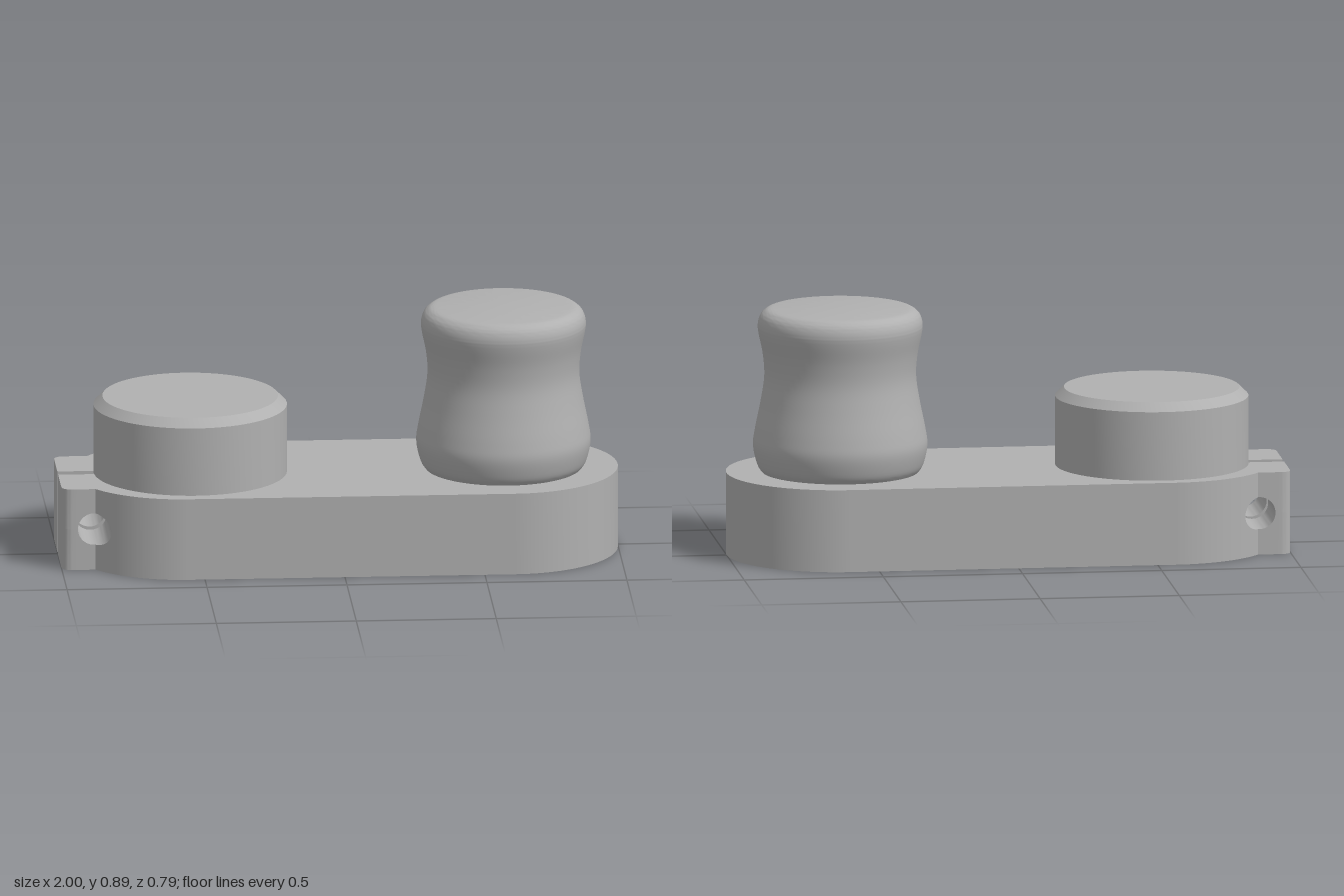
import * as THREE from 'three';
import { toCreasedNormals } from 'three/addons/utils/BufferGeometryUtils.js';

const H = 0.297;                                  // arm thickness
const R = 0.393, LEFT = -0.561, RIGHT = 0.607;    // arm end radius and arc centres
const BORE_X = -0.527, BORE_R = 0.262;
const SLOT = 0.022;                               // half width of the clamp slot
const CUT = -0.81;                                // where the clamp end meets the arm
const LUG_Z = 0.23, CORNER = 0.035;
const BOLT = { x: -0.885, y: 0.15, r: 0.058 };

// Outer half width of the clamp end at a given x
function halfWidth(x) {
  const d = Math.max(0, CORNER - (x + 1));
  const lug = LUG_Z - CORNER + Math.sqrt(CORNER * CORNER - d * d);
  const arc = Math.sqrt(Math.max(0, R * R - (x - LEFT) ** 2));
  return Math.max(lug, arc);
}

// Rectangular sections joined along x: section(x) gives [zMin, zMax, yMin, yMax]
function loft(xs, section) {
  const rings = xs.map((x) => {
    const [a, b, lo, hi] = section(x);
    return [[x, lo, a], [x, lo, b], [x, hi, b], [x, hi, a]];
  });
  const pos = [];
  const quad = (a, b, c, d) => pos.push(...a, ...b, ...c, ...a, ...c, ...d);
  for (let i = 0; i < rings.length - 1; i++) {
    const p = rings[i], q = rings[i + 1];
    for (let j = 0; j < 4; j++) {
      const k = (j + 1) % 4;
      quad(p[j], q[j], q[k], p[k]);
    }
  }
  quad(...rings[0]);
  quad(...rings[rings.length - 1].slice().reverse());
  const g = new THREE.BufferGeometry();
  g.setAttribute('position', new THREE.Float32BufferAttribute(pos, 3));
  return g;
}

export function createModel() {
  const group = new THREE.Group();
  const metal = new THREE.MeshStandardMaterial({ color: 0xb0b0b0 });
  metal.name = 'grey metal';
  const add = (name, geometry, x = 0) => {
    const mesh = new THREE.Mesh(toCreasedNormals(geometry, 0.5), metal);
    mesh.name = name;
    mesh.position.x = x;
    group.add(mesh);
  };

  // Arm with a bore opening into the clamp slot
  const end = Math.acos((CUT - LEFT) / R);
  const gap = Math.asin(SLOT / BORE_R);
  const outline = new THREE.Shape();
  outline.moveTo(CUT, -SLOT);
  outline.lineTo(CUT, -R * Math.sin(end));
  outline.absarc(LEFT, 0, R, -end, -Math.PI / 2, false);
  outline.absarc(RIGHT, 0, R, -Math.PI / 2, Math.PI / 2, false);
  outline.absarc(LEFT, 0, R, Math.PI / 2, end, false);
  outline.lineTo(CUT, SLOT);
  outline.absarc(BORE_X, 0, BORE_R, Math.PI - gap, -Math.PI + gap, true);
  outline.closePath();
  const arm = new THREE.ExtrudeGeometry(outline, { depth: H, bevelEnabled: false, curveSegments: 48 });
  add('arm', arm.rotateX(-Math.PI / 2));

  // Clamp lugs, each an upper and a lower half around the bolt hole
  const xs = [CUT, LEFT - Math.sqrt(R * R - LUG_Z * LUG_Z)];
  for (let i = 0; i <= 8; i++) xs.push(-1 + CORNER * (1 - Math.cos((i / 8) * Math.PI / 2)));
  for (let i = 0; i <= 24; i++) xs.push(BOLT.x - BOLT.r * Math.cos((i / 24) * Math.PI));
  xs.sort((a, b) => a - b);
  const open = (x) => Math.sqrt(Math.max(0, BOLT.r ** 2 - (x - BOLT.x) ** 2));
  for (const side of [1, -1]) {
    const span = (x) => (side > 0 ? [SLOT, halfWidth(x)] : [-halfWidth(x), -SLOT]);
    const name = side > 0 ? 'frontLug' : 'backLug';
    add(name + 'Lower', loft(xs, (x) => [...span(x), 0, BOLT.y - open(x)]));
    add(name + 'Upper', loft(xs, (x) => [...span(x), BOLT.y + open(x), H]));
  }

  // Hollow boss closed by a chamfered top
  const boss = [[0, 0.5], [BORE_R, 0.5], [BORE_R, H], [0.345, H], [0.345, 0.545], [0.313, 0.576], [0, 0.576]];
  add('boss', new THREE.LatheGeometry(boss.map((p) => new THREE.Vector2(...p)), 72), BORE_X);

  // Waisted grip knob with a flat top
  const curve = new THREE.SplineCurve([
    [0.28, H], [0.297, 0.325], [0.311, 0.39], [0.304, 0.45], [0.284, 0.55], [0.271, 0.64],
    [0.276, 0.72], [0.291, 0.795], [0.294, 0.83], [0.284, 0.862], [0.262, 0.881], [0.238, 0.886],
  ].map((p) => new THREE.Vector2(...p)));
  const knob = [...curve.getPoints(55), new THREE.Vector2(0, 0.886)];
  add('knob', new THREE.LatheGeometry(knob, 72), 0.592);

  return group;
}
